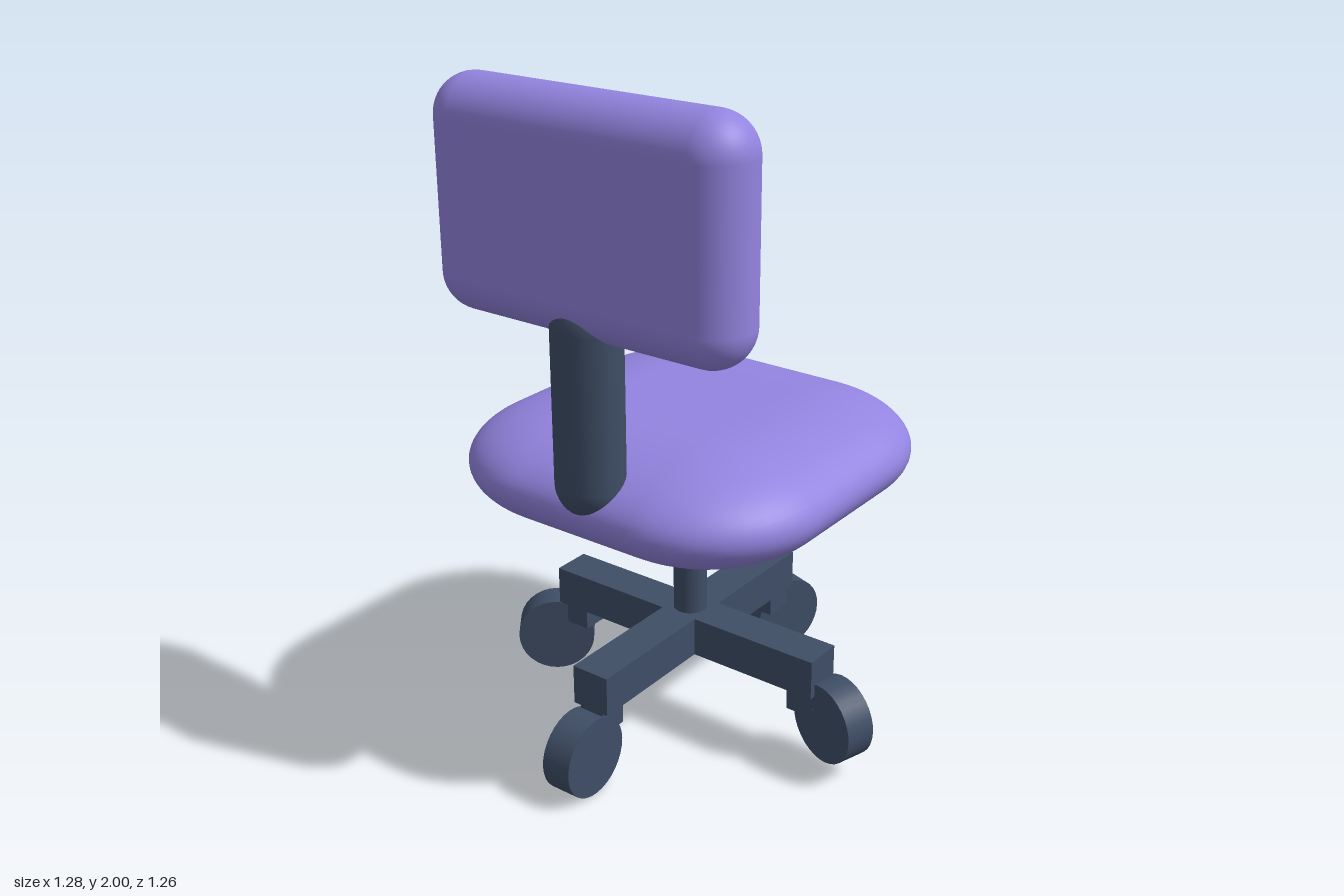
import * as THREE from 'three';
import { RoundedBoxGeometry } from 'three/addons/geometries/RoundedBoxGeometry.js';

const YAW = -0.108; // the whole chair is turned slightly

export function createModel() {
  const chair = new THREE.Group();
  chair.name = 'officeChair';
  const fabric = new THREE.MeshStandardMaterial({ color: 0x9384e0 });
  const frame = new THREE.MeshStandardMaterial({ color: 0x3f4e66 });

  const add = (parent, name, geometry, material, x, y, z, yaw = 0) => {
    const mesh = new THREE.Mesh(geometry, material);
    mesh.name = name;
    mesh.position.set(x, y, z);
    mesh.rotation.y = yaw;
    parent.add(mesh);
    return mesh;
  };

  // Cushioned seat: fully rounded block flattened in height
  const seat = new RoundedBoxGeometry(1.11, 0.71, 1.11, 8, 0.355);
  seat.scale(1, 0.155 / 0.355, 1);
  add(chair, 'seat', seat, fabric, 0.005, 0.885, 0, YAW);

  // Backrest with fully rounded edges
  add(chair, 'backrest', new RoundedBoxGeometry(0.964, 0.63, 0.22, 8, 0.1099),
    fabric, -0.01, 1.685, 0.465, YAW);

  // Support joining seat and backrest
  const post = new THREE.CapsuleGeometry(0.1, 0.43, 10, 32);
  post.scale(1, 1, 0.88);
  add(chair, 'backPost', post, frame, -0.016, 1.185, 0.49, YAW);

  // Central column
  add(chair, 'column', new THREE.CylinderGeometry(0.05, 0.05, 0.5, 32), frame, 0, 0.55, 0);

  // Four-armed base with a caster bracket under each arm end
  const base = new THREE.Group();
  base.name = 'base';
  base.rotation.y = YAW;
  chair.add(base);
  for (let i = 0; i < 4; i++) {
    const arm = new THREE.Group();
    arm.name = 'baseArm';
    arm.rotation.y = (i * Math.PI) / 2;
    base.add(arm);
    add(arm, 'armBeam', new THREE.BoxGeometry(0.12, 0.12, 0.471), frame, 0, 0.305, 0.2355);
    add(arm, 'casterBracket', new THREE.BoxGeometry(0.08, 0.08, 0.09), frame, 0, 0.21, 0.422);
  }

  // Wheels, each swivelled its own way: centre x, y, z and rolling direction
  const wheel = new THREE.CylinderGeometry(0.12, 0.12, 0.092, 32);
  wheel.rotateZ(Math.PI / 2);
  const casters = [
    ['frontWheel', -0.057, 0.12, 0.503, -0.1, 0.995],
    ['leftWheel', 0.512, 0.17, 0.062, 0.917, 0.4],
    ['backWheel', 0.048, 0.12, -0.503, 0.42, -0.907],
    ['rightWheel', -0.515, 0.12, -0.028, -0.845, 0.535],
  ];
  for (const [name, x, y, z, dx, dz] of casters) {
    add(chair, name, wheel, frame, x, y, z, Math.atan2(dx, dz));
  }
  return chair;
}
